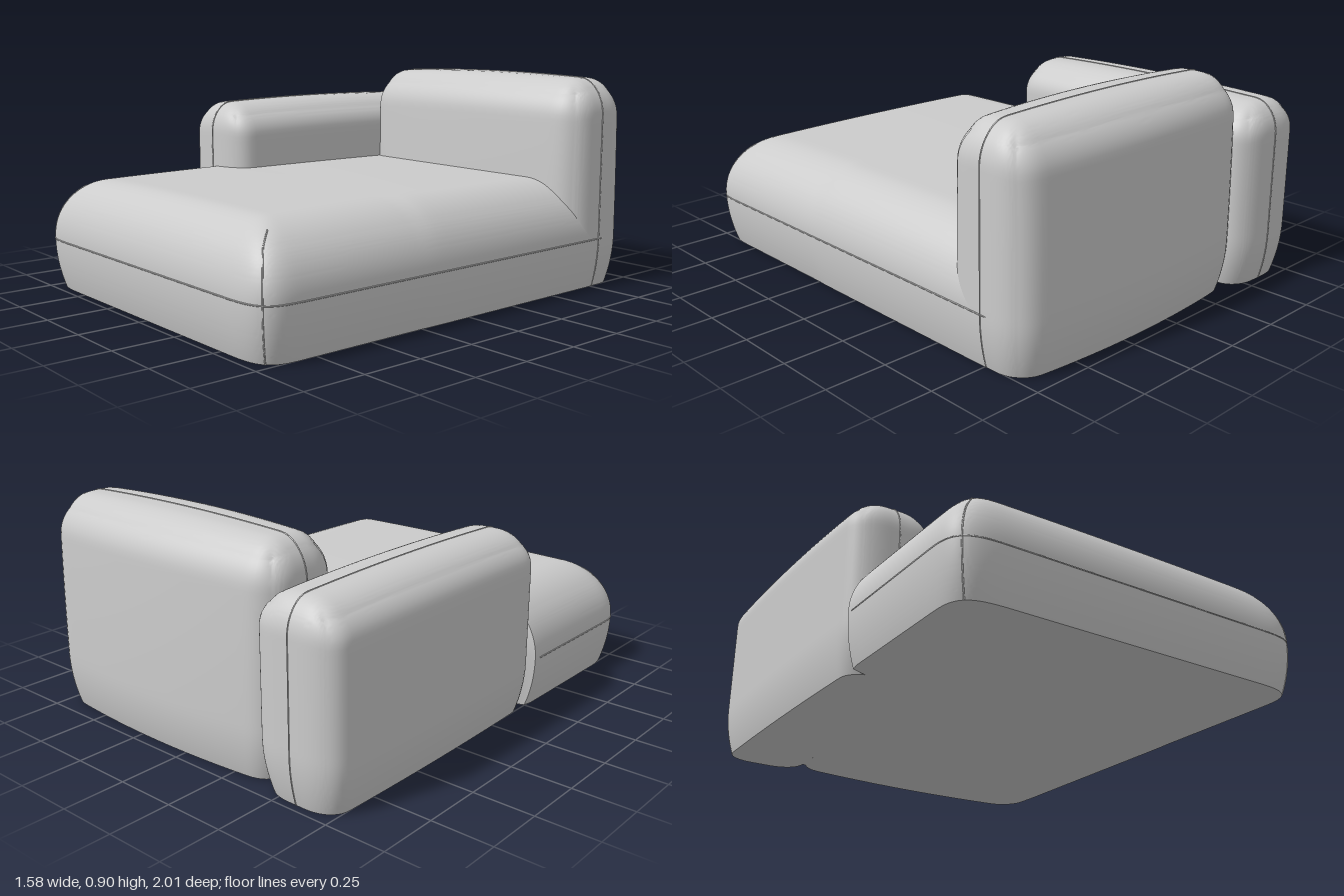
import * as THREE from 'three';
import { toCreasedNormals } from 'three/addons/utils/BufferGeometryUtils.js';

const material = new THREE.MeshStandardMaterial({ color: 0xcccccc });

// Returns a rule that maps a point on the cube [-1,1]^3 to the skin of a soft
// cushion: flat sharp bottom, rounded top and corners, gently bulging faces.
function cushionRule(o) {
  const half = o.min.map((v, i) => (o.max[i] - v) / 2);
  const mid = o.min.map((v, i) => (o.max[i] + v) / 2);
  return (s) => {
    const c = [s.x, s.y, s.z];
    const inner = [], d = [];
    c.forEach((v, i) => {
      const p = v * half[i], lim = half[i] - o.radius[i];
      inner[i] = i === 1 ? Math.min(p, lim) : THREE.MathUtils.clamp(p, -lim, lim);
      d[i] = (p - inner[i]) / o.radius[i];
    });
    // round the plan corners, then the top edge
    const ax = Math.abs(d[0]), az = Math.abs(d[2]);
    const m = Math.max(ax, az);
    const h = Math.pow(ax ** o.corner + az ** o.corner, 1 / o.corner);
    let plan = h > 0 ? m / h : 1;
    if (d[1] > 0) {
      const k = Math.max(m, d[1]) / Math.hypot(m, d[1]);
      plan *= k;
      d[1] *= k;
    }
    let x = inner[0] + d[0] * plan * o.radius[0];
    let y = inner[1] + d[1] * o.radius[1] + mid[1];
    let z = inner[2] + d[2] * plan * o.radius[2];
    // faces bulge in the middle and tuck in at the floor
    const tuck = Math.max(0, (0.23 - y) / 0.21) ** 2 * 0.03;
    const up = Math.max(0, (y - 0.23) / (o.max[1] - 0.23));
    x *= (1 - o.bulge[0] * c[2] * c[2]) * (1 - tuck / half[0]);
    z *= (1 - o.bulge[2] * c[0] * c[0]) * (1 - tuck / half[2]) * (1 - (o.lean || 0) * up * up);
    y -= o.bulge[1] * up * (c[0] * c[0] + c[2] * c[2]) / 2;
    const p = new THREE.Vector3(x + mid[0], y, z + mid[2]);
    return o.after ? o.after(p) : p;
  };
}

// Moves the vertices of a divided box by the rule, with finer steps near edges.
function cushion(name, rule, n) {
  const geo = new THREE.BoxGeometry(2, 2, 2, n, n, n);
  const pos = geo.attributes.position, v = new THREE.Vector3();
  const ease = (t) => THREE.MathUtils.lerp(t, Math.sin(t * Math.PI / 2), 0.7);
  for (let i = 0; i < pos.count; i++) {
    v.fromBufferAttribute(pos, i);
    const p = rule(v.set(ease(v.x), ease(v.y), ease(v.z)));
    pos.setXYZ(i, p.x, p.y, p.z);
  }
  const mesh = new THREE.Mesh(toCreasedNormals(geo, 1.0), material);
  mesh.name = name;
  return mesh;
}

// A thin stitched seam that follows the cushion skin along cube corners.
function seam(name, rule, corners) {
  const pts = [];
  for (let i = 0; i < corners.length - 1; i++) {
    const a = new THREE.Vector3(...corners[i]), b = new THREE.Vector3(...corners[i + 1]);
    for (let j = i ? 1 : 0; j <= 40; j++) pts.push(rule(a.clone().lerp(b, j / 40)));
  }
  const curve = new THREE.CatmullRomCurve3(pts);
  const mesh = new THREE.Mesh(new THREE.TubeGeometry(curve, 160, 0.003, 5), material);
  mesh.name = name;
  return mesh;
}

export function createModel() {
  const model = new THREE.Group();
  model.name = 'chaiseSofa';

  // seat, stepped in on one side to make room for the armrest
  const seat = cushionRule({
    min: [-0.787, 0.02, -0.9], max: [0.787, 0.497, 1],
    radius: [0.25, 0.26, 0.2], corner: 4, bulge: [0, 0.02, 0],
    after: (p) => {
      const step = 1 - THREE.MathUtils.smoothstep(p.z, 0.19, 0.26);
      p.x = 0.787 - (0.787 - p.x) * (1 - 0.09 * step);
      return p;
    },
  });
  model.add(cushion('seat', seat, 64));
  const y = -0.12;
  model.add(seam('seatSeam', seat, [[1, y, -1], [1, y, 1], [-1, y, 1], [-1, y, 0.25]]));
  for (const side of [-1, 1])
    model.add(seam('seatCornerSeam', seat, [[side, -1, 1], [side, 1, 1], [side * 0.85, 1, 0.88]]));

  // armrest
  const arm = cushionRule({
    min: [-0.79, 0.02, -1], max: [-0.388, 0.787, 0.267],
    radius: [0.16, 0.13, 0.1], corner: 2.3, bulge: [0.06, 0.03, 0],
  });
  model.add(cushion('armrest', arm, 40));
  model.add(seam('armrestSeam', arm, [[0, -1, 1], [0, 1, 1], [0, 1, -1], [0, -1, -1]]));

  // backrest
  const back = cushionRule({
    min: [-0.457, 0.02, -0.985], max: [0.787, 0.917, -0.53],
    radius: [0.12, 0.15, 0.17], corner: 2.4, bulge: [0, 0.035, 0.2], lean: 0.08,
  });
  model.add(cushion('backrest', back, 40));
  model.add(seam('backrestSeam', back, [[-1, -1, 0], [-1, 1, 0], [1, 1, 0], [1, -1, 0]]));

  return model;
}
